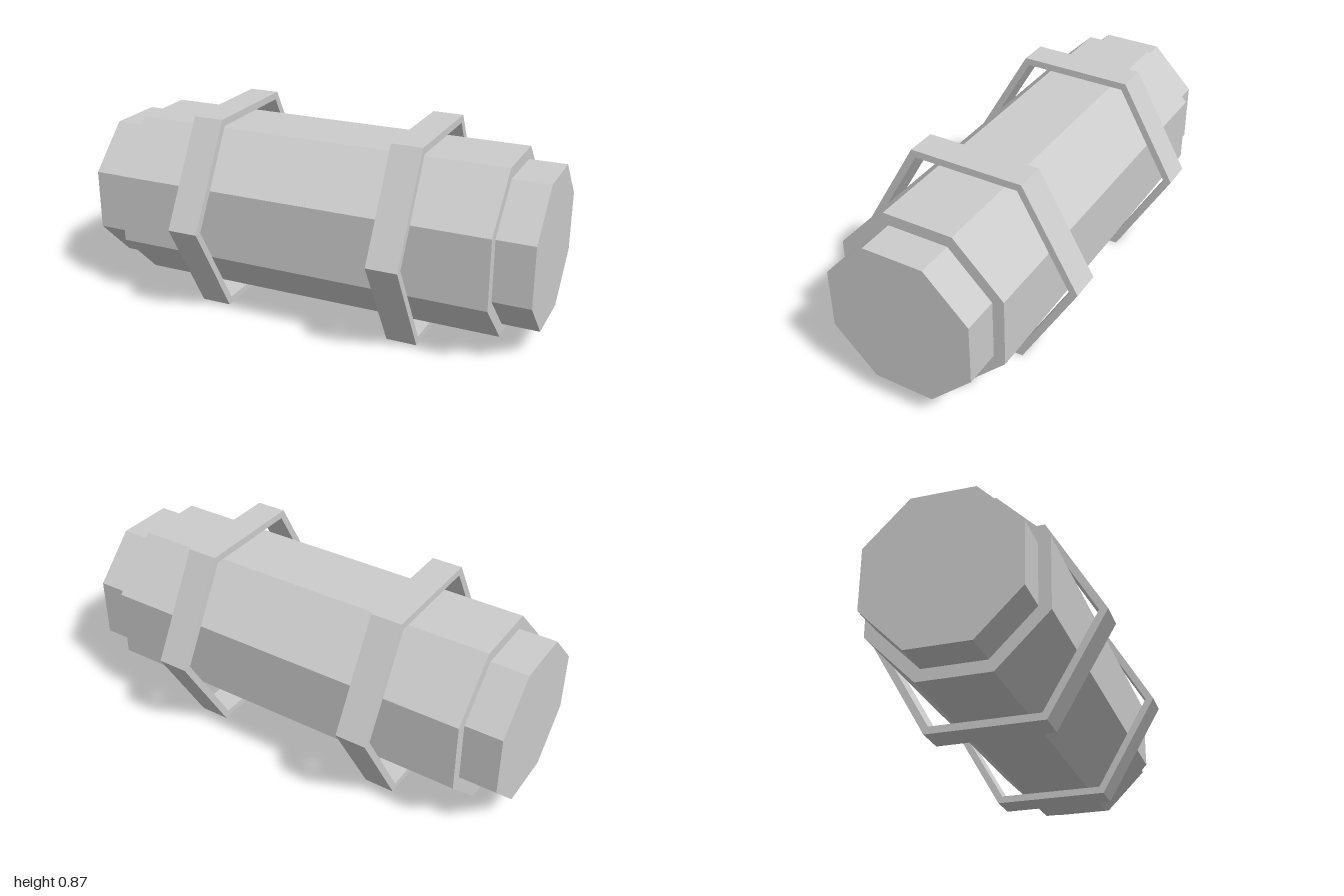
import * as THREE from 'three';

const CENTER_Y = 0.433;

// Faceted octagonal prism along x, with a flat side on top
function octagonPrism(apothem, length) {
  const geo = new THREE.CylinderGeometry(1, 1, length, 8)
    .scale(apothem / Math.cos(Math.PI / 8), 1, apothem / Math.cos(Math.PI / 8))
    .rotateY(Math.PI / 8)
    .rotateZ(Math.PI / 2)
    .toNonIndexed();
  geo.computeVertexNormals();
  return geo;
}

function hexagonPoints(radius) {
  return Array.from({ length: 6 }, (_, i) => {
    const a = (i * Math.PI) / 3;
    return new THREE.Vector2(radius * Math.cos(a), radius * Math.sin(a));
  });
}

// Hollow hexagonal band around the x axis
function hexagonRing(outer, inner, width) {
  const shape = new THREE.Shape(hexagonPoints(outer));
  shape.holes.push(new THREE.Path(hexagonPoints(inner)));
  return new THREE.ExtrudeGeometry(shape, { depth: width, bevelEnabled: false })
    .translate(0, 0, -width / 2)
    .rotateY(Math.PI / 2);
}

export function createModel() {
  const model = new THREE.Group();
  model.name = 'ringedCanister';
  const lightGrey = new THREE.MeshStandardMaterial({ color: 0xcccccc });
  lightGrey.name = 'lightGrey';

  const add = (name, geometry, x) => {
    const mesh = new THREE.Mesh(geometry, lightGrey);
    mesh.name = name;
    mesh.position.set(x, CENTER_Y, 0);
    model.add(mesh);
  };

  // Main barrel
  add('body', octagonPrism(0.367, 1.68), 0);

  // Narrower end caps and hexagonal bands, mirrored left and right
  const capGeometry = octagonPrism(0.317, 0.16);
  const ringGeometry = hexagonRing(0.5, 0.464, 0.134);
  for (const [side, s] of [['left', 1], ['right', -1]]) {
    add(`${side}EndCap`, capGeometry, s * 0.92);
    add(`${side}HexRing`, ringGeometry, s * 0.448);
  }
  return model;
}
